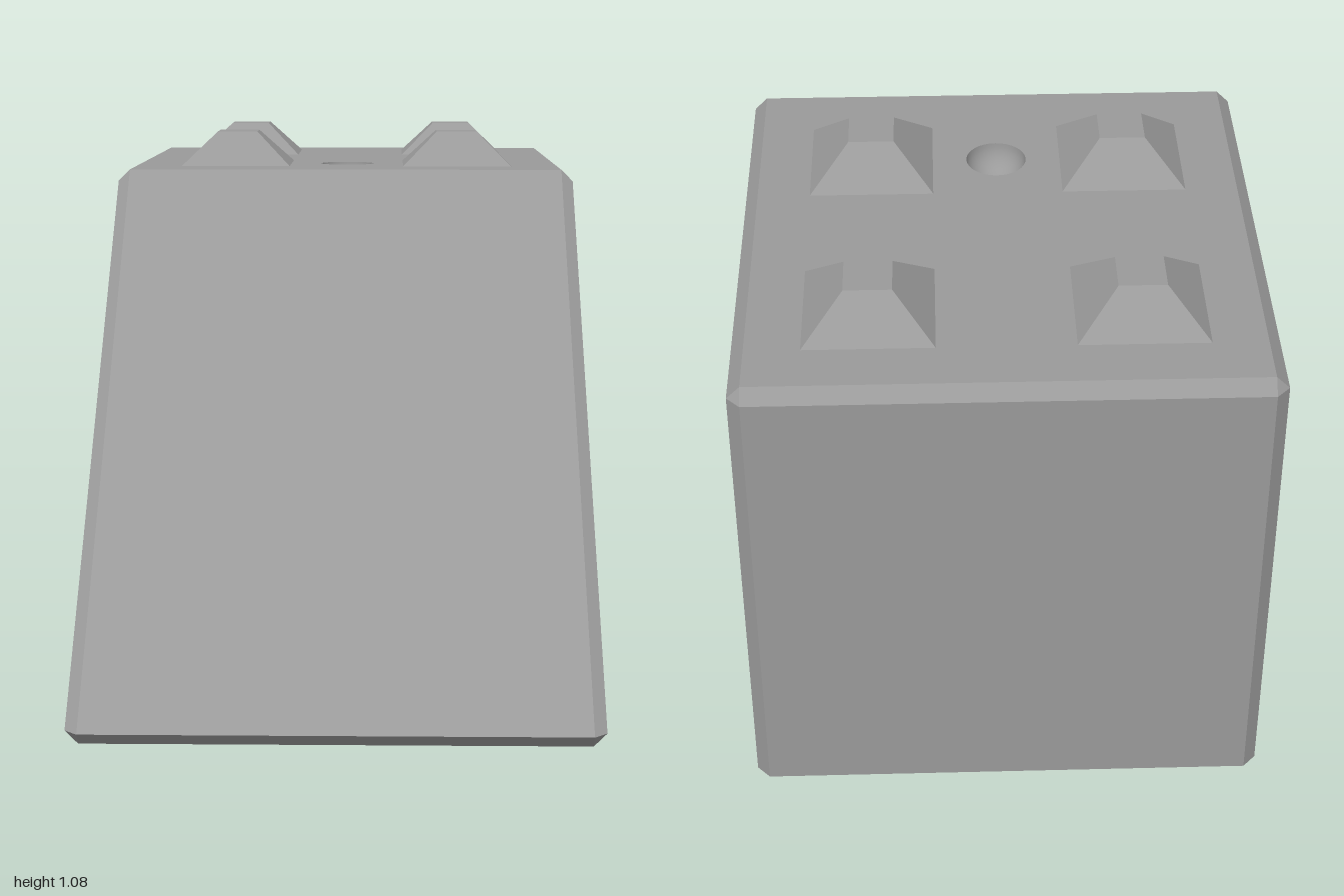
import * as THREE from 'three';

const flat = new THREE.MeshStandardMaterial({ color: 0x9a9a9a, flatShading: true });
const smooth = new THREE.MeshStandardMaterial({ color: 0x9a9a9a });

const C = 0.025; // bevel width
const PEG = { base: 0.122, tip: 0.045, rise: 0.075 }; // half-widths and height
const SOCKET = { base: 0.13, tip: 0.043, rise: 0.085 };
const DIMPLE = 0.06, DIMPLE_Z = -0.25;

function add(parent, name, geometry, material = flat) {
  const mesh = new THREE.Mesh(geometry, material);
  mesh.name = name;
  parent.add(mesh);
  return mesh;
}

// Bevelled wedge skin, lofted across x; the level top and bottom are left open for the plates
function wedgeShell() {
  const outer = [[1, C], [0, 1], [-1 + C, 1], [-1, 1 - C], [-1, C], [-1 + C, 0], [1 - C, 0]]; // z, y
  const a = [1 - C, C], b = [0, 1 - C], c = [-1 + C, 1 - C], d = [-1 + C, C];
  const inner = [a, b, c, c, d, d, a];
  const at = (x, loop) => loop.map(([z, y]) => new THREE.Vector3(x, y, z));
  const loops = [at(-0.5, inner), at(-0.5 + C, outer), at(0.5 - C, outer), at(0.5, inner)];
  const points = [];
  const tri = (p, q, r) => {
    if (!p.equals(q) && !q.equals(r) && !r.equals(p)) points.push(p, q, r);
  };
  for (let k = 0; k < 3; k++) {
    for (let i = 0; i < 7; i++) {
      if (k === 1 && (i === 1 || i === 5)) continue;
      const j = (i + 1) % 7, L = loops[k], R = loops[k + 1];
      tri(L[i], R[i], R[j]);
      tri(L[i], R[j], L[j]);
    }
  }
  // Side faces
  for (let i = 1; i < 6; i++) {
    tri(loops[0][0], loops[0][i], loops[0][i + 1]);
    tri(loops[3][0], loops[3][i + 1], loops[3][i]);
  }
  const geometry = new THREE.BufferGeometry().setFromPoints(points);
  geometry.computeVertexNormals();
  return geometry;
}

function rectangle(x0, y0, x1, y1, Type = THREE.Shape) {
  return new Type([[x0, y0], [x1, y0], [x1, y1], [x0, y1]].map(([x, y]) => new THREE.Vector2(x, y)));
}

// Four-sided frustum; reversing the profile turns it to face inwards
function frustum({ base, tip, rise }, inward = false) {
  const profile = [[base, 0], [tip, rise], [0, rise]];
  if (inward) profile.reverse();
  const points = profile.map(([half, y]) => new THREE.Vector2(half * Math.SQRT2, y));
  return new THREE.LatheGeometry(points, 4, Math.PI / 4);
}

export function createModel() {
  const model = new THREE.Group();
  model.name = 'rampBlock';
  add(model, 'wedgeBody', wedgeShell());

  // Top plate with a round opening
  const top = rectangle(-0.5 + C, 0, 0.5 - C, 1 - C);
  top.holes.push(new THREE.Path().absarc(0, -DIMPLE_Z, DIMPLE, 0, Math.PI * 2, true));
  add(model, 'topPlate', new THREE.ShapeGeometry(top, 16).rotateX(-Math.PI / 2)).position.y = 1;

  // Round dimple
  const bowl = [];
  for (let i = 0; i <= 10; i++) {
    const t = (i / 10) * Math.PI / 2;
    bowl.push(new THREE.Vector2(DIMPLE * Math.cos(t), -DIMPLE * Math.sin(t)));
  }
  add(model, 'dimple', new THREE.LatheGeometry(bowl, 32), smooth).position.set(0, 1, DIMPLE_Z);

  // Pegs on top, slightly larger sockets underneath
  const pegGeometry = frustum(PEG);
  const socketGeometry = frustum(SOCKET, true);
  const bottom = rectangle(-0.5 + C, -1 + C, 0.5 - C, 1 - C);
  const s = SOCKET.base;
  for (const x of [-0.25, 0.25]) {
    for (const z of [-0.75, -0.25, 0.25, 0.75]) {
      if (z < 0) add(model, 'peg', pegGeometry).position.set(x, 1, z);
      add(model, 'socket', socketGeometry).position.set(x, 0, z);
      bottom.holes.push(rectangle(x - s, z - s, x + s, z + s, THREE.Path));
    }
  }
  add(model, 'bottomPlate', new THREE.ShapeGeometry(bottom).rotateX(Math.PI / 2));

  return model;
}
